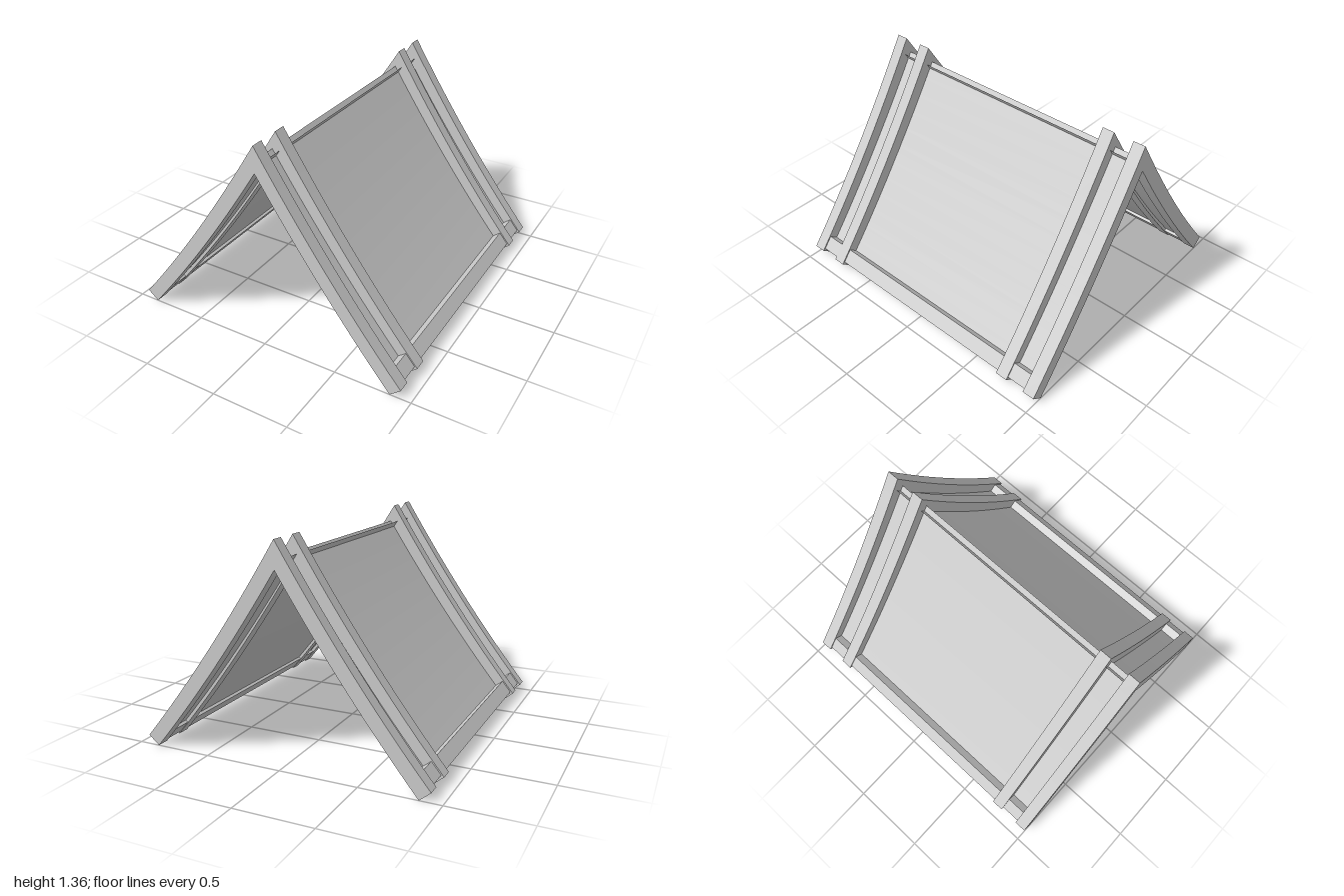
import * as THREE from 'three';

const mat = new THREE.MeshStandardMaterial({ color: 0xcccccc, flatShading: true });
const sheetMat = new THREE.MeshStandardMaterial({ color: 0xcccccc, side: THREE.DoubleSide });

// Gently sagging slope line, from ridge (t = 0) to eave (t = 1)
const slope = new THREE.QuadraticBezierCurve(
  new THREE.Vector2(0, 1.355), new THREE.Vector2(0.44, 0.65), new THREE.Vector2(0.934, 0.058));

// Point on the slope, sunk by depth d along the inward normal
function at(t, d) {
  const p = slope.getPoint(t), q = slope.getTangent(t);
  return new THREE.Vector2(p.x + q.y * d, p.y - q.x * d);
}

// Parameter at which the sunk slope line reaches a given x
function paramAtX(x, depth) {
  let a = 0, b = 0.5;
  for (let i = 0; i < 30; i++) {
    const m = (a + b) / 2;
    if (at(m, depth(m)).x < x) a = m; else b = m;
  }
  return a;
}

// Samples of the sunk slope line
function line(t0, t1, depth, n) {
  return Array.from({ length: n + 1 }, (_, i) => {
    const t = t0 + (t1 - t0) * i / n;
    return at(t, depth(t));
  });
}

const flip = (pts) => pts.map((p) => new THREE.Vector2(-p.x, p.y));

function extrude(name, pts, z0, z1) {
  const geo = new THREE.ExtrudeGeometry(new THREE.Shape(pts), { depth: z1 - z0, bevelEnabled: false });
  geo.translate(0, 0, z0);
  const mesh = new THREE.Mesh(geo, mat);
  mesh.name = name;
  return mesh;
}

export function createModel() {
  const group = new THREE.Group();
  group.name = 'gableRoof';
  const N = 12, ribDepth = () => 0.091;

  // Rafter frames: one chevron outline, four copies
  const outer = line(0, 1, () => 0, N);
  const inner = line(paramAtX(0, ribDepth), 1, ribDepth, N);
  const chevron = [
    ...outer, ...inner.slice().reverse(),
    ...flip(inner).slice(1), ...flip(outer).slice(1).reverse()];
  for (const z of [-1, -0.79, 0.71, 0.92]) {
    group.add(extrude('rafterFrame', chevron, z, z + 0.08));
  }

  // Eave rails between the frames
  const rail = [at(0.988, 0.008), at(0.927, 0.008), at(0.927, 0.088), at(0.988, 0.088)];
  group.add(extrude('leftEaveRail', rail, -0.93, 0.93));
  group.add(extrude('rightEaveRail', flip(rail), -0.93, 0.93));

  // Thin roof sheets, crossing slightly at the ridge
  const sheetDepth = (t) => 0.082 - 0.014 * t;
  const profile = line(paramAtX(-0.025, sheetDepth), 0.96, sheetDepth, N);
  for (const side of [1, -1]) {
    const geo = new THREE.PlaneGeometry(1.86, 1, 1, N);
    const pos = geo.attributes.position;
    for (let i = 0; i < pos.count; i++) {
      const p = profile[Math.floor(i / 2)];
      pos.setXYZ(i, side * p.x, p.y, -side * pos.getX(i));
    }
    geo.computeVertexNormals();
    const sheet = new THREE.Mesh(geo, sheetMat);
    sheet.name = side > 0 ? 'leftRoofSheet' : 'rightRoofSheet';
    group.add(sheet);
  }
  return group;
}
